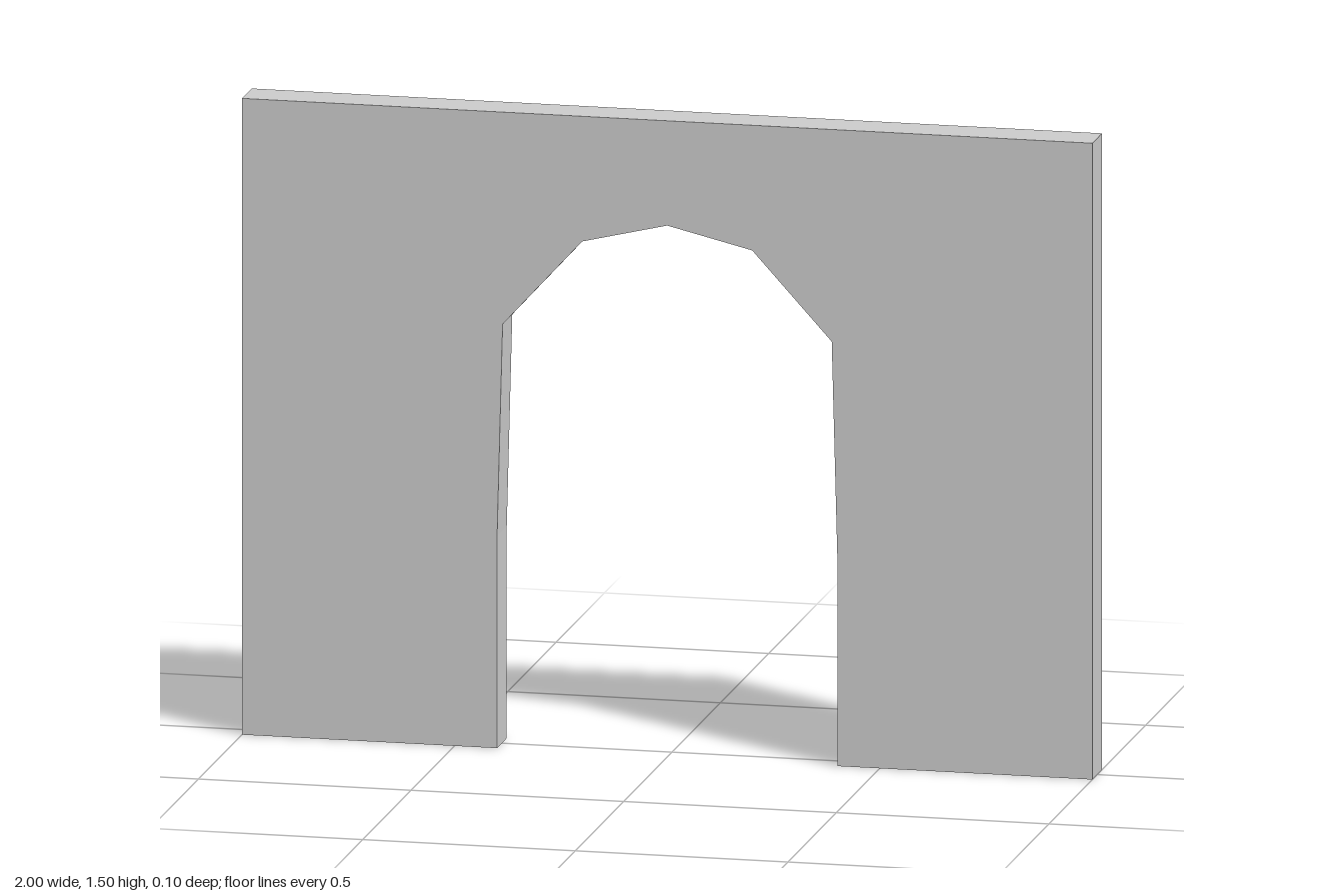
import * as THREE from 'three';

const WIDTH = 2, HEIGHT = 1.5, DEPTH = 0.1;

// Right half of the faceted arch opening, from the floor up to just below the apex
const ARCH = [[0.4, 0], [0.4, 0.5], [0.387, 1], [0.2, 1.205]];
const APEX = [0, 1.253];

export function createModel() {
  const group = new THREE.Group();
  group.name = 'archwayWall';

  // Wall outline with the doorway cut up from the bottom edge
  const mirrored = ARCH.map(([x, y]) => [-x, y]).reverse();
  const outline = [
    [WIDTH / 2, 0], [WIDTH / 2, HEIGHT], [-WIDTH / 2, HEIGHT], [-WIDTH / 2, 0],
    ...mirrored.reverse(), APEX, ...[...ARCH].reverse(),
  ];
  const shape = new THREE.Shape(outline.map(([x, y]) => new THREE.Vector2(x, y)));

  const geometry = new THREE.ExtrudeGeometry(shape, { depth: DEPTH, bevelEnabled: false });
  geometry.translate(0, 0, -DEPTH / 2);

  const wall = new THREE.Mesh(
    geometry,
    new THREE.MeshStandardMaterial({ color: 0xcccccc, flatShading: true }),
  );
  wall.name = 'wallWithArchedDoorway';
  group.add(wall);
  return group;
}
